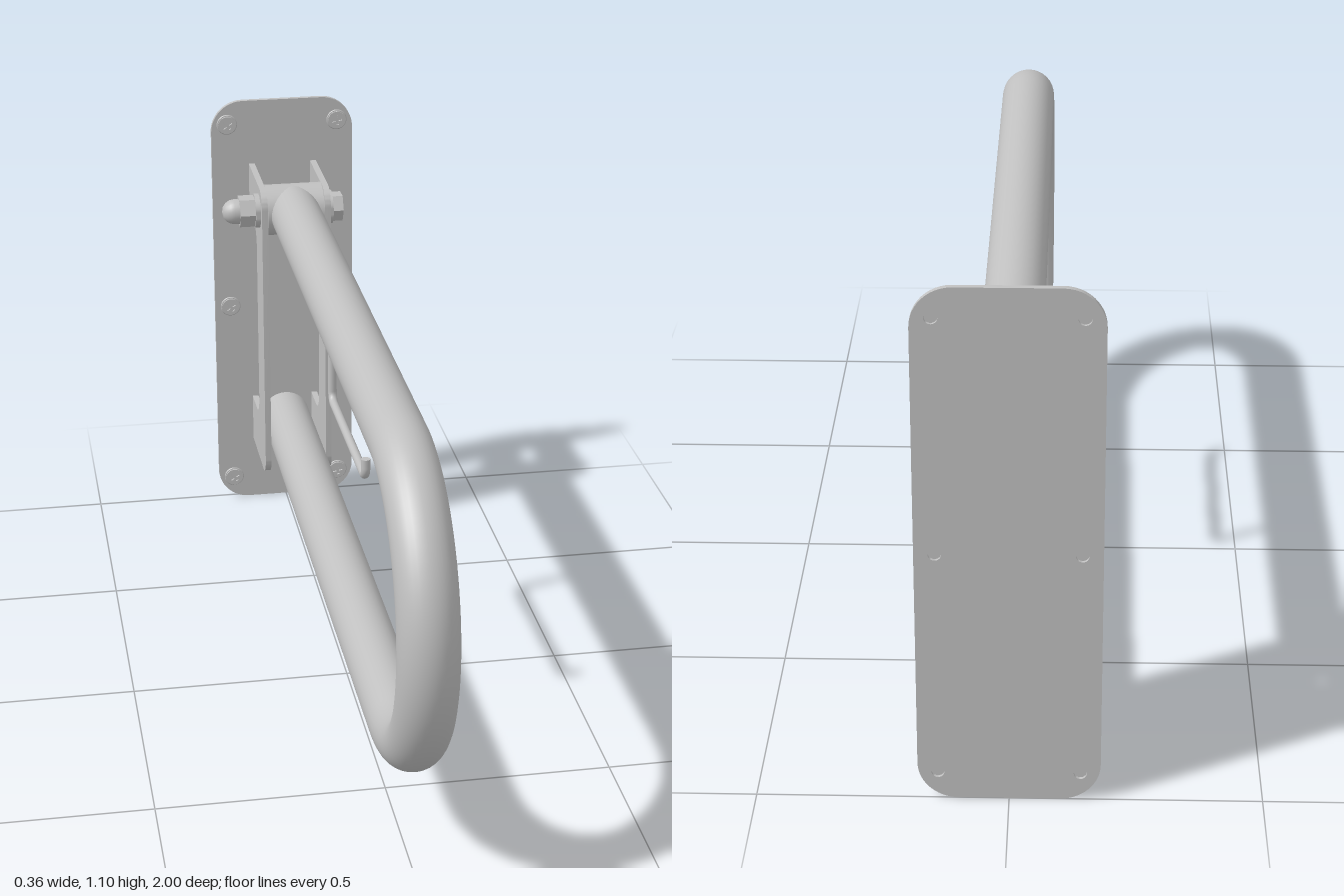
import * as THREE from 'three';
import { toCreasedNormals } from 'three/addons/utils/BufferGeometryUtils.js';

const V = (y, z) => new THREE.Vector3(0, y, z);
const K = 0.5523; // cubic handle length for a quarter circle

// Closed outline from corners [x, y, radius]
function roundedShape(corners) {
  const shape = new THREE.Shape();
  const n = corners.length;
  corners.forEach(([x, y, r], i) => {
    const p = new THREE.Vector2(x, y);
    const toward = (c) => new THREE.Vector2(c[0], c[1]).sub(p).setLength(r).add(p);
    const a = toward(corners[(i + n - 1) % n]);
    const b = toward(corners[(i + 1) % n]);
    if (i === 0) shape.moveTo(a.x, a.y); else shape.lineTo(a.x, a.y);
    if (r > 0) {
      const c1 = a.clone().lerp(p, K), c2 = b.clone().lerp(p, K);
      shape.bezierCurveTo(c1.x, c1.y, c2.x, c2.y, b.x, b.y);
    }
  });
  shape.closePath();
  return shape;
}

function extrude(shape, depth) {
  const geo = new THREE.ExtrudeGeometry(shape, { depth, bevelEnabled: false, curveSegments: 12 });
  return toCreasedNormals(geo, 0.6);
}

// Path in the x = 0 plane with rounded bends, from corners [y, z, radius]
function bentPath(corners) {
  const path = new THREE.CurvePath();
  let last = V(corners[0][0], corners[0][1]);
  const lineTo = (p) => { if (last.distanceTo(p) > 1e-5) path.add(new THREE.LineCurve3(last, p)); };
  corners.slice(1).forEach(([y, z, r], i) => {
    const p = V(y, z);
    if (!r) { lineTo(p); last = p; return; }
    const prev = corners[i], next = corners[i + 2];
    const a = V(prev[0], prev[1]).sub(p).setLength(r).add(p);
    const b = V(next[0], next[1]).sub(p).setLength(r).add(p);
    lineTo(a);
    path.add(new THREE.CubicBezierCurve3(a, a.clone().lerp(p, K), b.clone().lerp(p, K), b));
    last = b;
  });
  return path;
}

export function createModel() {
  const model = new THREE.Group();
  const steel = new THREE.MeshStandardMaterial({ color: 0xc0c0c0 });
  steel.name = 'brushedSteel';
  const add = (parent, name, geo, x = 0, y = 0, z = 0) => {
    const mesh = new THREE.Mesh(geo, steel);
    mesh.name = name;
    mesh.position.set(x, y, z);
    parent.add(mesh);
    return mesh;
  };

  const pivotY = 0.873, pivotZ = -0.805;
  const screwSpots = [];
  for (const x of [-0.14, 0.14]) for (const y of [0.06, 0.55, 1.04]) screwSpots.push([x, y]);

  // Wall plate with screw holes
  const plate = roundedShape([[-0.18, 0, 0.08], [0.18, 0, 0.08], [0.18, 1.1, 0.08], [-0.18, 1.1, 0.08]]);
  for (const [x, y] of screwSpots) plate.holes.push(new THREE.Path().absarc(x, y, 0.013, 0, Math.PI * 2, true));
  add(model, 'wallPlate', extrude(plate, 0.012), 0, 0, -1);

  // Screws: low heads with a cross recess, on a short core
  const head = new THREE.Shape().absarc(0, 0, 0.022, 0, Math.PI * 2, false);
  const w = 0.0035, l = 0.013;
  head.holes.push(new THREE.Path([[w, w], [w, l], [-w, l], [-w, w], [-l, w], [-l, -w],
    [-w, -w], [-w, -l], [w, -l], [w, -w], [l, -w], [l, w]].map((p) => new THREE.Vector2(...p))));
  const headGeo = extrude(head, 0.005);
  const rimGeo = new THREE.CylinderGeometry(0.024, 0.026, 0.002, 24).rotateX(Math.PI / 2);
  const coreGeo = new THREE.CylinderGeometry(0.013, 0.013, 0.006, 16).rotateX(Math.PI / 2);
  for (const [x, y] of screwSpots) {
    const screw = new THREE.Group();
    screw.name = 'screw';
    screw.position.set(x, y, -0.988);
    screw.rotation.z = x < 0 ? 0.6 : 0.2;
    add(screw, 'screwRim', rimGeo, 0, 0, 0.001);
    add(screw, 'screwHead', headGeo, 0, 0, 0.002);
    add(screw, 'screwCore', coreGeo, 0, 0, -0.003);
    model.add(screw);
  }

  // C-shaped side brackets, open toward the wall
  const bracket = roundedShape([
    [-0.988, 0.17, 0], [-0.745, 0.17, 0.045], [-0.745, 0.935, 0.045], [-0.988, 0.935, 0],
    [-0.988, 0.81, 0], [-0.855, 0.81, 0.05], [-0.855, 0.292, 0.05], [-0.988, 0.292, 0],
  ]);
  const bracketGeo = extrude(bracket, 0.015).rotateY(-Math.PI / 2);
  add(model, 'leftBracket', bracketGeo, 0.086);
  add(model, 'rightBracket', bracketGeo, -0.071);

  // Folding rail: one bent tube, rising slightly toward the front
  const rail = new THREE.Group();
  rail.name = 'foldingRail';
  rail.position.set(0, pivotY, pivotZ);
  rail.rotation.x = -0.006;
  model.add(rail);
  const R = 0.318, front = 1.743;
  const railPath = bentPath([[0, 0, 0], [0, front, R], [-2 * R, front, R], [-2 * R, -0.182, 0]]);
  add(rail, 'railTube', new THREE.TubeGeometry(railPath, 160, 0.062, 32, false));
  add(rail, 'pivotSleeve', new THREE.CylinderGeometry(0.0625, 0.0625, 0.141, 40).rotateZ(Math.PI / 2));

  // Paper holder wire under the upper rail
  const wirePath = bentPath([[0.83, -0.2, 0], [0.614, -0.2, 0.025], [0.624, 0.243, 0.022], [0.668, 0.243, 0]]);
  add(model, 'holderWire', new THREE.TubeGeometry(wirePath, 100, 0.01, 14, false));
  add(model, 'holderWireEnd', new THREE.CircleGeometry(0.01, 14).rotateX(-Math.PI / 2), 0, 0.668, 0.243);

  // Pivot bolt: washers, hex head on the left, hex nut with a domed cap on the right
  const bolt = new THREE.Group();
  bolt.name = 'pivotBolt';
  bolt.position.set(0, pivotY, pivotZ);
  model.add(bolt);
  const disc = (name, r, x0, x1, sides) => {
    const geo = new THREE.CylinderGeometry(r, r, Math.abs(x1 - x0), sides);
    add(bolt, name, toCreasedNormals(geo, 0.6).rotateZ(Math.PI / 2), (x0 + x1) / 2);
  };
  disc('washer', 0.042, 0.086, 0.096, 32);
  disc('boltHead', 0.037, 0.096, 0.122, 6);
  disc('washer', 0.042, -0.086, -0.098, 32);
  disc('nut', 0.04, -0.098, -0.136, 6);
  const dome = [[0.031, 0], [0.031, 0.012], [0.029, 0.022], [0.023, 0.032], [0.014, 0.039], [0, 0.042]];
  const domeGeo = new THREE.LatheGeometry(dome.map((p) => new THREE.Vector2(...p)), 28);
  add(bolt, 'nutCap', domeGeo.rotateZ(Math.PI / 2), -0.136);

  return model;
}
